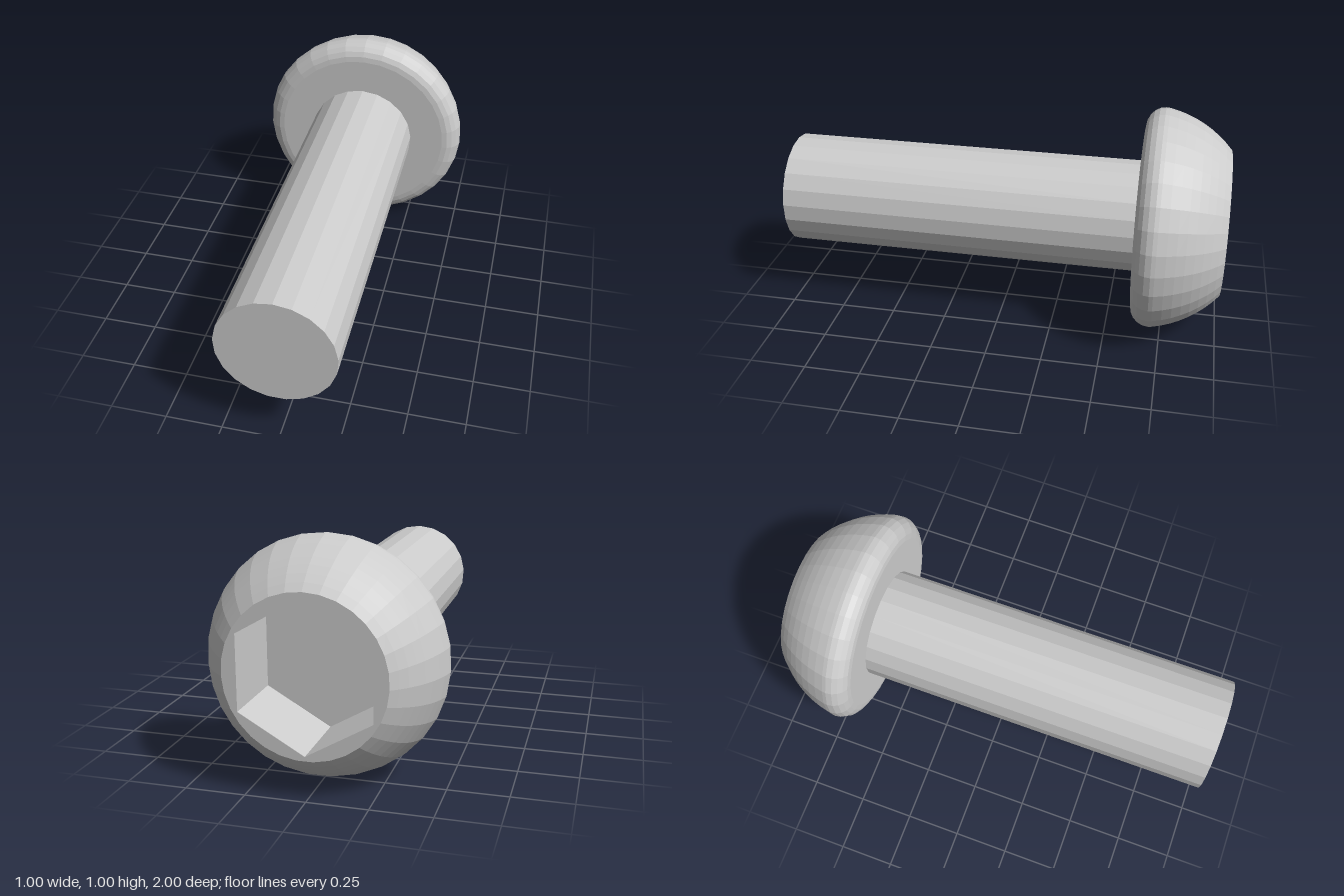
import * as THREE from 'three';

export function createModel() {
  const group = new THREE.Group();
  const mat = new THREE.MeshStandardMaterial({ color: 0xcccccc, flatShading: true });
  const thin = new THREE.MeshStandardMaterial({ color: 0xcccccc, flatShading: true, side: THREE.DoubleSide });

  const AXIS_Y = 0.5, HEAD_SIDES = 31, SHANK_SIDES = 21;
  const UNDER = 0.615, RIM_R = 0.33, HEX_R = 0.31, DEPTH = 0.325;

  const add = (name, geometry, material = mat) => {
    const mesh = new THREE.Mesh(geometry, material);
    mesh.name = name;
    mesh.position.y = AXIS_Y;
    group.add(mesh);
  };

  // Regular polygon with one corner pointing up
  const polygon = (r, n) => Array.from({ length: n }, (_, i) => {
    const a = Math.PI / 2 + (i / n) * Math.PI * 2;
    return new THREE.Vector2(r * Math.cos(a), r * Math.sin(a));
  });

  // Shank: faceted rod running forward from the head
  const shankLength = 1 + UNDER + 0.01;
  add('shank', new THREE.CylinderGeometry(0.254, 0.254, shankLength, SHANK_SIDES)
    .rotateX(-Math.PI / 2).translate(0, 0, 1 - shankLength / 2));

  // Head: flat underside, rounded edge, then a spherical dome cut flat at the back
  const profile = [new THREE.Vector2(0.24, UNDER)];
  const edge = 0.083;
  for (let i = 0; i <= 5; i++) {
    const a = -Math.PI / 2 + (i / 5) * (Math.PI / 2);
    profile.push(new THREE.Vector2(0.416 + edge * Math.cos(a), UNDER + edge + edge * Math.sin(a)));
  }
  const domeR = Math.hypot(RIM_R, 1 - UNDER);
  const start = 0.2, end = Math.atan2(1 - UNDER, RIM_R);
  for (let i = 0; i <= 8; i++) {
    const a = start + (i / 8) * (end - start);
    profile.push(new THREE.Vector2(domeR * Math.cos(a), UNDER + domeR * Math.sin(a)));
  }
  add('head', new THREE.LatheGeometry(profile, HEAD_SIDES).rotateX(-Math.PI / 2));

  // Flat back face with the hexagonal opening
  const face = new THREE.Shape(polygon(RIM_R, HEAD_SIDES));
  face.holes.push(new THREE.Path(polygon(HEX_R, 6).reverse()));
  add('headFace', new THREE.ShapeGeometry(face).rotateY(Math.PI).translate(0, 0, -1));

  // Hexagonal socket: walls and floor
  add('socketWalls', new THREE.CylinderGeometry(HEX_R, HEX_R, DEPTH, 6, 1, true)
    .rotateX(-Math.PI / 2).translate(0, 0, -1 + DEPTH / 2), thin);
  add('socketFloor', new THREE.CircleGeometry(HEX_R, 6, Math.PI / 2)
    .rotateY(Math.PI).translate(0, 0, -1 + DEPTH));

  return group;
}
